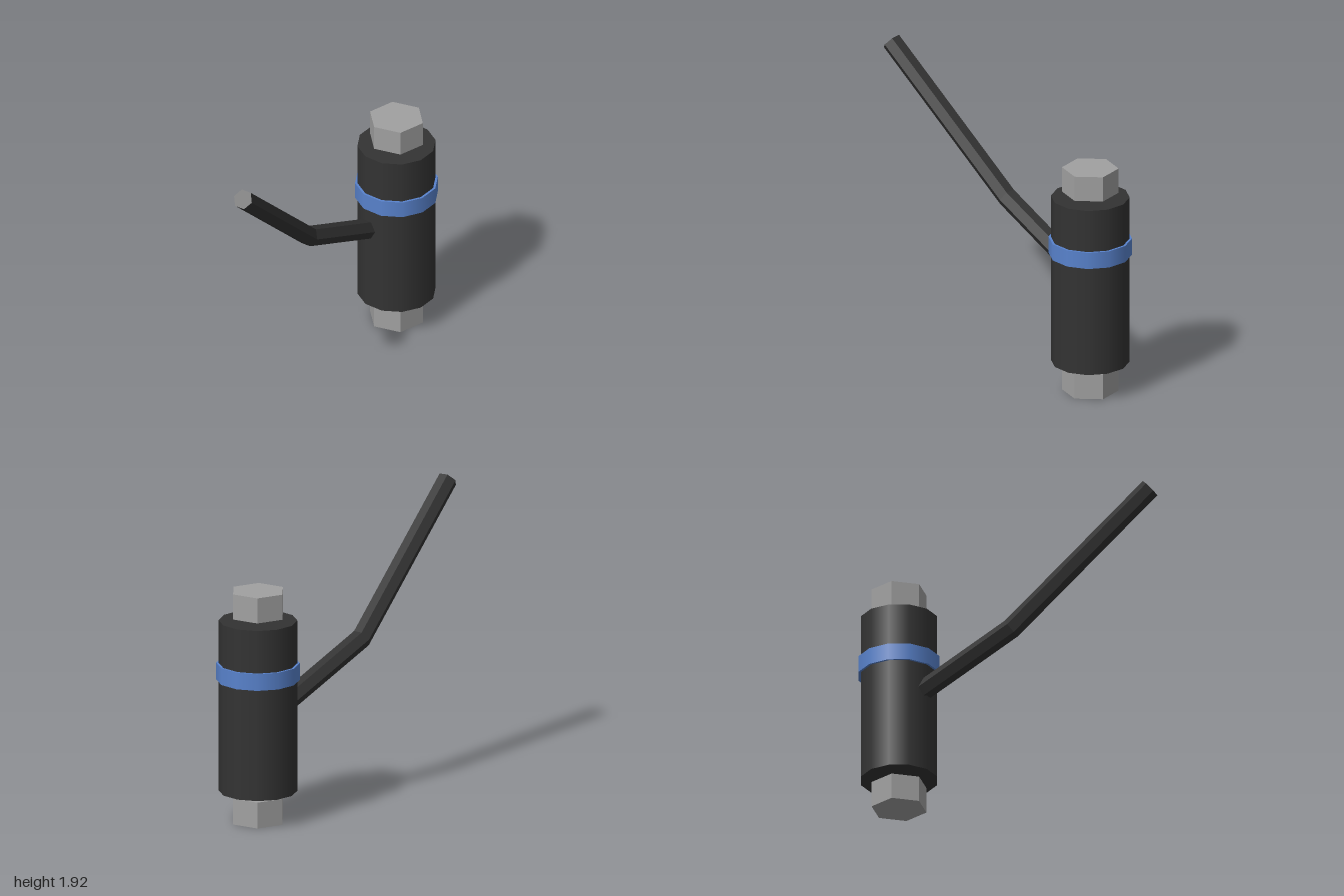
import * as THREE from 'three';

const X = -0.185, Z = -0.735; // vertical axis of the body

// Hexagonal bar swept along a bent path, with mitred joints
function hexBar(points, r) {
  const dirs = points.slice(1).map((p, i) => p.clone().sub(points[i]).normalize());
  const side = new THREE.Vector3().crossVectors(new THREE.Vector3(0, 1, 0), dirs[0]).normalize();
  const up = new THREE.Vector3().crossVectors(dirs[0], side);
  let ring = [];
  for (let k = 0; k < 6; k++) {
    const a = k * Math.PI / 3;
    ring.push(points[0].clone().addScaledVector(side, r * Math.cos(a)).addScaledVector(up, r * Math.sin(a)));
  }
  const pos = [];
  const tri = (...v) => v.forEach(p => pos.push(p.x, p.y, p.z));
  for (let k = 0; k < 6; k++) tri(points[0], ring[(k + 1) % 6], ring[k]);
  dirs.forEach((d, i) => {
    const end = points[i + 1];
    const n = d.clone().add(dirs[i + 1] || d).normalize();
    const next = ring.map(p => p.clone().addScaledVector(d, end.clone().sub(p).dot(n) / d.dot(n)));
    for (let k = 0; k < 6; k++) {
      const j = (k + 1) % 6;
      tri(ring[k], ring[j], next[j]);
      tri(ring[k], next[j], next[k]);
    }
    ring = next;
  });
  const tip = points[points.length - 1];
  for (let k = 0; k < 6; k++) tri(tip, ring[k], ring[(k + 1) % 6]);
  const g = new THREE.BufferGeometry();
  g.setAttribute('position', new THREE.Float32BufferAttribute(pos, 3));
  g.computeVertexNormals();
  return g;
}

export function createModel() {
  const group = new THREE.Group();
  const material = (name, color) => {
    const m = new THREE.MeshStandardMaterial({ color });
    m.name = name;
    return m;
  };
  const black = material('black', 0x333333);
  const steel = material('steel', 0xa0a0a0);
  const blue = material('blue', 0x5882cc);

  const add = (name, geometry, mat) => {
    const mesh = new THREE.Mesh(geometry, mat);
    mesh.name = name;
    group.add(mesh);
  };
  // Upright cylinder on the body axis between two heights
  const column = (name, r, y0, y1, sides, mat, flat) => {
    let g = new THREE.CylinderGeometry(r, r, y1 - y0, sides);
    if (flat) {
      g = g.toNonIndexed();
      g.computeVertexNormals();
    }
    add(name, g.translate(X, (y0 + y1) / 2, Z), mat);
  };

  column('body', 0.25, 0.2, 1.32, 12, black);
  column('band', 0.265, 0.93, 1.04, 12, blue);
  // Hexagonal end nuts
  column('bottomNut', 0.18, 0, 0.17, 6, steel, true);
  column('topNut', 0.18, 1.35, 1.515, 6, steel, true);

  // Bent lever rising out of the front of the body
  add('handle', hexBar([
    new THREE.Vector3(-0.21, 0.715, -0.62),
    new THREE.Vector3(-0.015, 1.045, 0.105),
    new THREE.Vector3(0.383, 1.877, 0.947),
  ], 0.065), black);

  return group;
}
